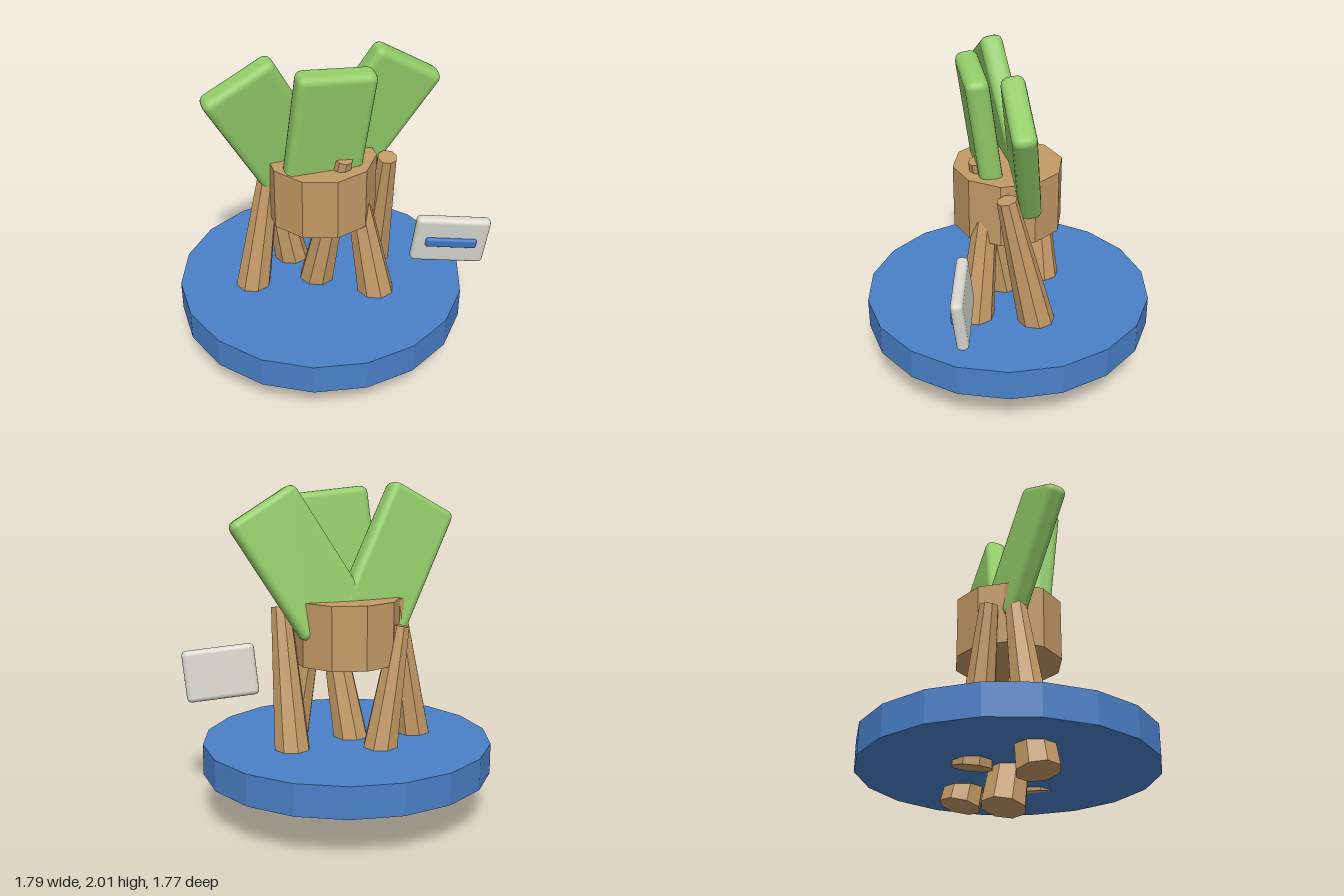
import * as THREE from 'three';
import { RoundedBoxGeometry } from 'three/addons/geometries/RoundedBoxGeometry.js';

const mat = (color, flatShading = false) => new THREE.MeshStandardMaterial({ color, flatShading });
const wood = mat(0xc49a66, true);
const blue = mat(0x4a80c8, true);
const green = mat(0x92cc68);
const plaque = mat(0xd8d8d0);
const barBlue = mat(0x3f77c4);

const CX = -0.033; // trunk and base axis

function add(parent, name, geometry, material, x = 0, y = 0, z = 0) {
  const mesh = new THREE.Mesh(geometry, material);
  mesh.name = name;
  mesh.position.set(x, y, z);
  parent.add(mesh);
  return mesh;
}

// Tapered eight-sided root running from a bottom point to a top point
function addRoot(parent, name, bottom, top, rBottom, rTop) {
  const a = new THREE.Vector3(...bottom), b = new THREE.Vector3(...top);
  const dir = b.clone().sub(a);
  const root = add(parent, name, new THREE.CylinderGeometry(rTop, rBottom, dir.length(), 8), wood);
  root.position.copy(a).add(b).multiplyScalar(0.5);
  root.quaternion.setFromUnitVectors(new THREE.Vector3(0, 1, 0), dir.normalize());
}

// Slab-shaped leaf: leans forward, then rolls sideways
function addLeaf(parent, name, x, y, z, lean, roll) {
  const leaf = add(parent, name, new RoundedBoxGeometry(0.46, 0.82, 0.135, 2, 0.045), green, x, y, z);
  leaf.rotation.set(lean, 0, roll, 'ZXY');
}

export function createModel() {
  const model = new THREE.Group();
  model.name = 'plantOnRoots';

  // Round base and trunk
  add(model, 'base', new THREE.CylinderGeometry(0.885, 0.885, 0.19, 18), blue, CX, 0.36, 0);
  add(model, 'trunk', new THREE.CylinderGeometry(0.33, 0.33, 0.385, 10), wood, CX, 1.1375, 0);

  // Roots passing through the base
  const roots = [
    ['rootRight', [-0.522, 0.12, -0.02], [-0.315, 1.32, -0.08], 0.128, 0.058],
    ['rootCentre', [-0.115, 0.03, -0.062], [0.045, 1.395, 0.195], 0.133, 0.055],
    ['rootLeft', [0.35, 0.155, -0.162], [0.357, 1.285, 0.08], 0.127, 0.06],
    ['rootFront', [0.27, 0.263, 0.275], [0.128, 1.2, 0.15], 0.125, 0.062],
    ['rootBack', [-0.12, 0.235, -0.25], [-0.29, 1.18, -0.22], 0.122, 0.058],
  ];
  for (const root of roots) addRoot(model, ...root);

  // Fan of three leaves
  addLeaf(model, 'leafFront', -0.04, 1.555, 0.16, 0.14, -0.085);
  addLeaf(model, 'leafLeft', 0.28, 1.55, -0.02, 0.155, -0.54);
  addLeaf(model, 'leafRight', -0.345, 1.555, -0.02, 0.155, 0.5);

  // Floating plaque with a bar on its face
  const sign = new THREE.Group();
  sign.name = 'plaque';
  sign.position.set(0.66, 0.833, 0.387);
  sign.rotation.set(0.1, -0.24, -0.1, 'YXZ');
  model.add(sign);
  add(sign, 'plaqueBoard', new RoundedBoxGeometry(0.45, 0.325, 0.07, 2, 0.03), plaque);
  add(sign, 'plaqueBar', new RoundedBoxGeometry(0.31, 0.062, 0.04, 2, 0.015), barBlue, 0, 0, 0.035);

  return model;
}
